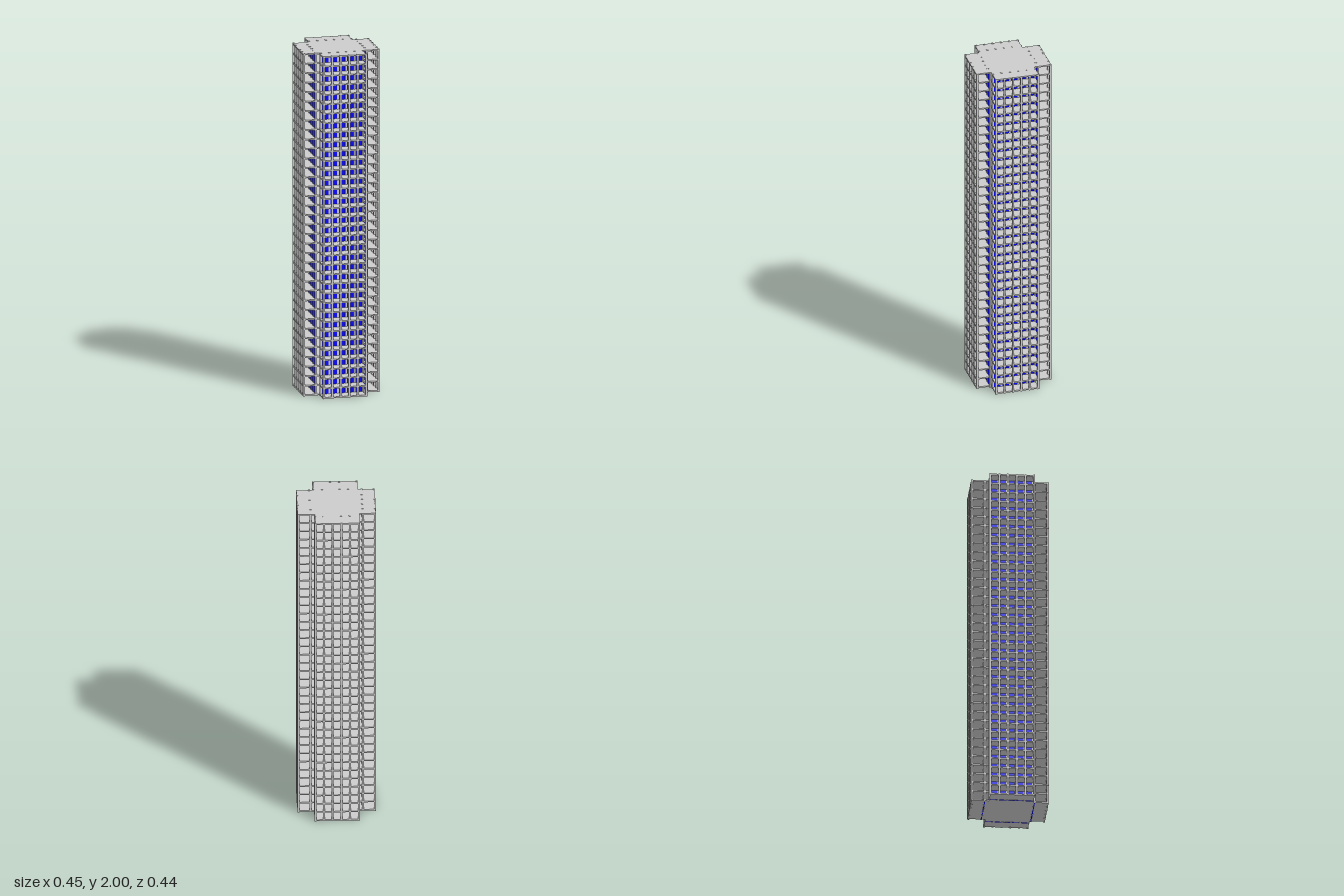
import * as THREE from 'three';
import { mergeGeometries } from 'three/addons/utils/BufferGeometryUtils.js';

const HEIGHT = 2, FLOORS = 36, COL = 0.011, SLAB = 0.008;

function box(w, h, d, x, y, z) {
  return new THREE.BoxGeometry(w, h, d).translate(x, y, z);
}

// Cross-shaped floor plate, lying flat with its underside at y = 0
function slabGeometry() {
  const x0 = -0.222, x1 = 0.22, z0 = -0.221, z1 = 0.218; // arm ends
  const a0 = -0.129, a1 = 0.123, b0 = -0.121, b1 = 0.131; // arm sides
  const outline = [
    [a0, z0], [a1, z0], [a1, b0], [x1, b0], [x1, b1], [a1, b1],
    [a1, z1], [a0, z1], [a0, b1], [x0, b1], [x0, b0], [a0, b0],
  ];
  const shape = new THREE.Shape(outline.map(([x, z]) => new THREE.Vector2(x, -z)));
  return new THREE.ExtrudeGeometry(shape, { depth: SLAB, bevelEnabled: false }).rotateX(-Math.PI / 2);
}

export function createModel() {
  const group = new THREE.Group();
  const grey = new THREE.MeshStandardMaterial({ color: 0xcccccc });
  const blue = new THREE.MeshStandardMaterial({ color: 0x0000ff });
  const add = (name, parts, material) => {
    const mesh = new THREE.Mesh(mergeGeometries(parts), material);
    mesh.name = name;
    group.add(mesh);
  };

  // Floors, evenly stacked from the base to the roof
  const slab = slabGeometry();
  const slabs = [];
  for (let i = 0; i <= FLOORS; i++) {
    slabs.push(slab.clone().translate(0, 0.002 + (i * (HEIGHT - SLAB - 0.004)) / FLOORS, 0));
  }
  add('floorSlabs', slabs, grey);

  // Outer and inner rows of six columns on each of the four arms
  const column = (x, z) => box(COL, HEIGHT, COL, x, HEIGHT / 2, z);
  const frontBack = [], sides = [];
  for (let i = 0; i < 6; i++) {
    const x = -0.1225 + i * 0.0492, z = -0.119 + i * 0.0494;
    for (const rowZ of [-0.216, -0.143, 0.138, 0.213]) frontBack.push(column(x, rowZ));
    for (const rowX of [-0.218, -0.148, 0.147, 0.2165]) sides.push(column(rowX, z));
  }
  add('frontAndBackColumns', frontBack, grey);
  add('sideColumns', sides, grey);

  // Thin glazed walls standing in the inner column rows
  const wallH = HEIGHT - 0.006, thin = 0.005;
  add('glassWalls', [
    box(0.246, wallH, thin, 0, wallH / 2, 0.138),
    box(0.246, wallH, thin, 0, wallH / 2, -0.143),
    box(thin, wallH, 0.247, 0.147, wallH / 2, 0.0045),
    box(thin, wallH, 0.247, -0.148, wallH / 2, 0.0045),
  ], blue);

  return group;
}
